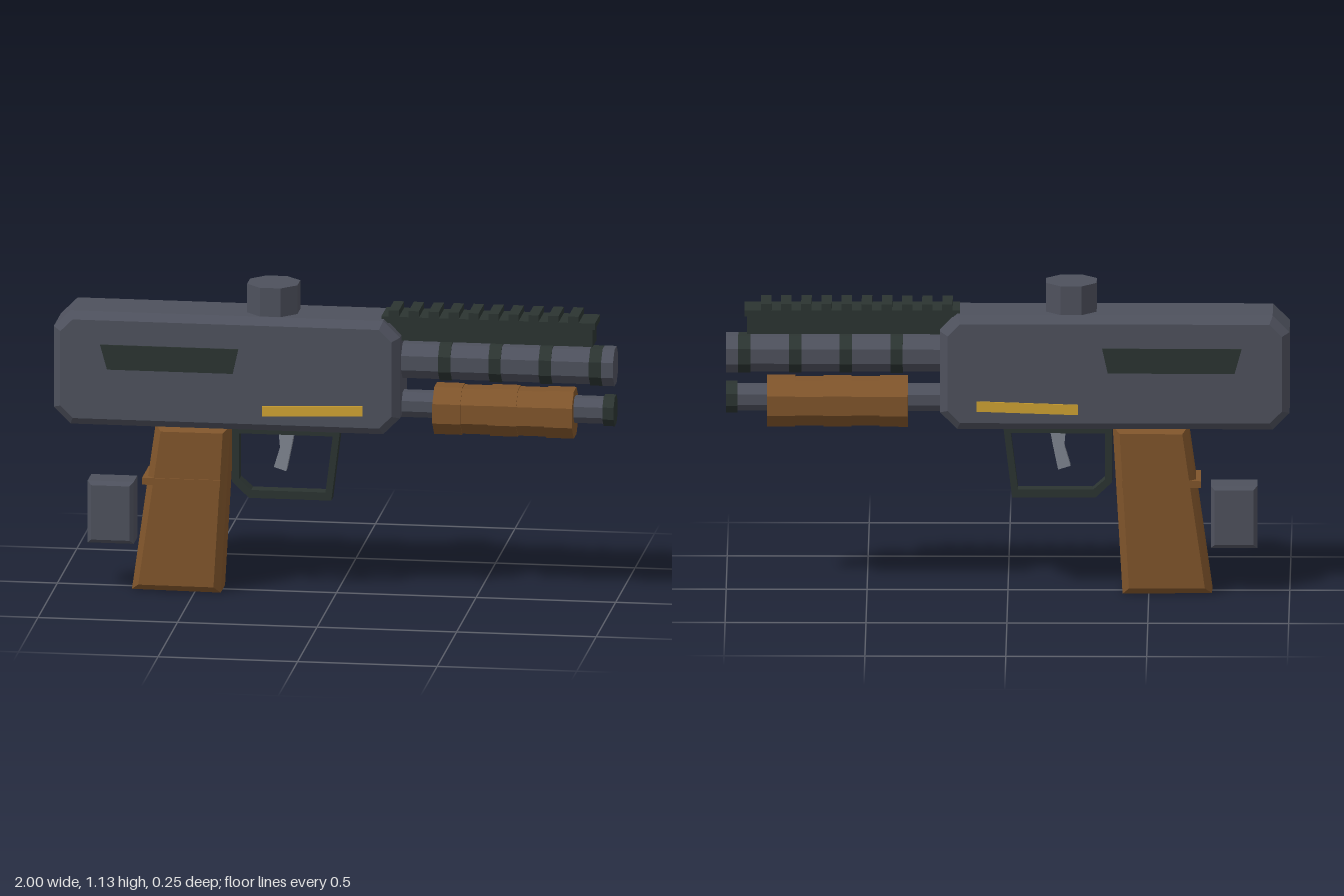
import * as THREE from 'three';

const mat = (name, color) => {
  const m = new THREE.MeshStandardMaterial({ color, flatShading: true });
  m.name = name;
  return m;
};

export function createModel() {
  const metal = mat('blue grey metal', 0x4e515d);
  const dark = mat('dark green metal', 0x2b3431);
  const wood = mat('brown wood', 0x80552b);
  const gold = mat('gold', 0xcfa232);
  const steel = mat('light steel', 0x7f8590);

  const root = new THREE.Group();
  root.name = 'blaster';

  const add = (name, geometry, material, parent = root) => {
    const mesh = new THREE.Mesh(geometry, material);
    mesh.name = name;
    parent.add(mesh);
    return mesh;
  };
  const group = (name) => {
    const g = new THREE.Group();
    g.name = name;
    root.add(g);
    return g;
  };
  const vecs = (points) => points.map(([x, y]) => new THREE.Vector2(x, y));

  // Side profile extruded to z = +-half, with a single-step chamfer inside the outline
  const slab = (points, half, bevel = 0, hole = null) => {
    const shape = new THREE.Shape(vecs(points));
    if (hole) shape.holes.push(new THREE.Path(vecs(hole)));
    const geo = new THREE.ExtrudeGeometry(shape, {
      depth: 2 * (half - bevel), bevelEnabled: bevel > 0, bevelSegments: 1,
      bevelSize: bevel, bevelThickness: bevel, bevelOffset: -bevel,
    });
    return geo.translate(0, 0, bevel - half);
  };
  const box = (x0, x1, y0, y1, half) =>
    new THREE.BoxGeometry(x1 - x0, y1 - y0, 2 * half).translate((x0 + x1) / 2, (y0 + y1) / 2, 0);

  // Octagonal bar along x, flats facing up and sideways
  const octagon = (apothem, length) => {
    const r = apothem / Math.cos(Math.PI / 8);
    return new THREE.CylinderGeometry(r, r, length, 8).rotateY(Math.PI / 8);
  };
  const bar = (x0, x1, y, apothem) =>
    octagon(apothem, x1 - x0).rotateZ(-Math.PI / 2).translate((x0 + x1) / 2, y, 0);

  // Receiver with clipped corners
  const c = 0.06;
  const [l, r, b, t] = [-1, 0.24, 0.61, 1.025];
  add('receiver', slab([
    [l + c, b], [r - c, b], [r, b + c], [r, t - c],
    [r - c, t], [l + c, t], [l, t - c], [l, b + c],
  ], 0.12, 0.027), metal);
  add('topKnob', octagon(0.09, 0.13).translate(-0.225, 1.065, 0), metal);

  // Painted side panels and stripes, on both sides
  const panel = [[-0.805, 0.82], [-0.355, 0.82], [-0.335, 0.91], [-0.83, 0.91]];
  const stripe = [[-0.25, 0.668], [0.11, 0.68], [0.11, 0.717], [-0.25, 0.705]];
  for (const side of [1, -1]) {
    const label = side > 0 ? 'front' : 'back';
    add(label + 'Panel', slab(panel, 0.003), dark).position.z = side * 0.122;
    add(label + 'Stripe', slab(stripe, 0.003), gold).position.z = side * 0.122;
  }

  // Barrel with dark rings and a wider muzzle
  const barrel = group('barrel');
  add('barrelTube', bar(0.2, 0.97, 0.865, 0.063), metal, barrel);
  add('muzzle', bar(0.957, 1, 0.865, 0.067), metal, barrel);
  for (let i = 0; i < 4; i++) {
    const x = 0.395 + i * 0.18;
    add('barrelRing', bar(x - 0.022, x + 0.022, 0.865, 0.067), dark, barrel);
  }

  // Lower tube with its end cap, and the ribbed wooden pump
  const pump = group('pump');
  add('lowerTube', bar(0.2, 0.97, 0.703, 0.046), metal, pump);
  add('tubeCap', bar(0.96, 1, 0.703, 0.053), dark, pump);
  for (let i = 0; i < 5; i++) {
    const x = 0.355 + i * 0.1;
    add('pumpSegment', bar(x, x + 0.1, 0.689, i % 2 ? 0.082 : 0.086), wood, pump);
  }

  // Toothed top rail
  const rail = group('rail');
  add('railBase', box(0.18, 0.925, 0.945, 1.016, 0.052), dark, rail);
  add('railPlate', box(0.17, 0.935, 1.012, 1.035, 0.068), dark, rail);
  for (let i = 0; i < 10; i++) {
    const x = 0.196 + i * 0.0715;
    add('railTooth', box(x, x + 0.037, 1.03, 1.058, 0.068), dark, rail);
  }

  // Grip with a raised band
  add('grip', slab([
    [-0.725, 0.003], [-0.407, 0], [-0.372, 0.612], [-0.64, 0.612],
  ], 0.08, 0.024), wood);
  add('gripBand', box(-0.685, -0.405, 0.393, 0.418, 0.085), wood);

  // Trigger and its guard
  add('triggerGuard', slab([
    [-0.37, 0.615], [-0.37, 0.4], [-0.31, 0.343], [-0.015, 0.343], [0.018, 0.615],
  ], 0.026, 0, [
    [-0.345, 0.578], [-0.345, 0.41], [-0.302, 0.372], [-0.036, 0.372], [-0.01, 0.578],
  ]), dark);
  add('trigger', slab([
    [-0.205, 0.585], [-0.15, 0.585], [-0.158, 0.54], [-0.178, 0.443], [-0.222, 0.457], [-0.2, 0.53],
  ], 0.018), steel);

  // Separate block behind the grip
  add('rearBlock', slab([
    [-0.885, 0.165], [-0.72, 0.165], [-0.72, 0.392], [-0.885, 0.392],
  ], 0.06, 0.014), metal);

  return root;
}
